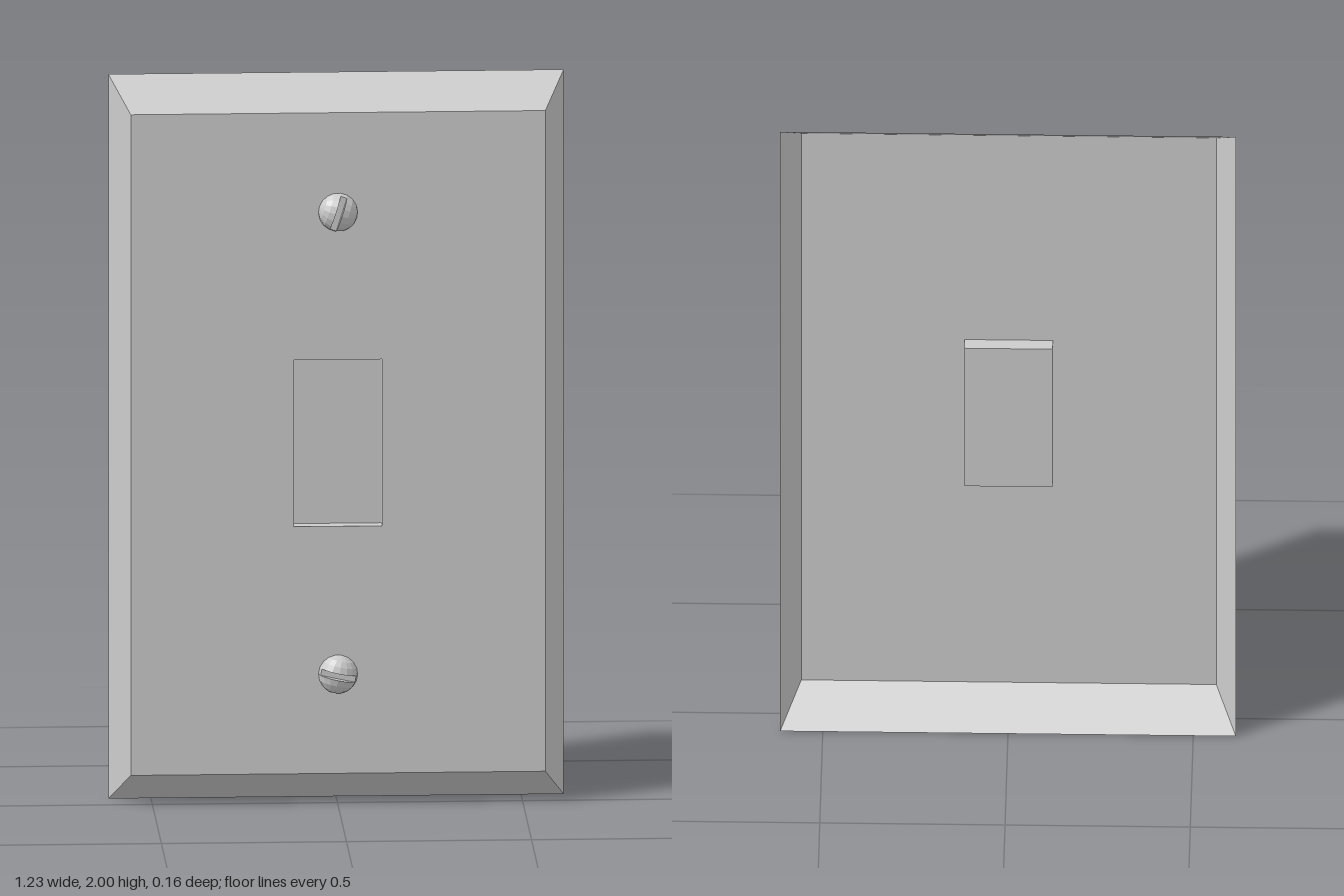
import * as THREE from 'three';
import { mergeGeometries } from 'three/addons/utils/BufferGeometryUtils.js';

const FRONT = 0.034; // z of the plate's front face

const grey = (extra = {}) => new THREE.MeshStandardMaterial({ color: 0xcccccc, flatShading: true, ...extra });

function mesh(name, geometry, material) {
  const m = new THREE.Mesh(geometry, material);
  m.name = name;
  return m;
}

// Thin pressed sheet: nested rectangles [halfWidth, halfHeight, z] joined in order, the last one closed
function sheet(frames) {
  const loops = frames.map(([w, h, z]) => [[-w, -h, z], [w, -h, z], [w, h, z], [-w, h, z]]);
  const pos = [];
  const quad = (a, b, c, d) => pos.push(...a, ...b, ...c, ...a, ...c, ...d);
  for (let i = 0; i < loops.length - 1; i++) {
    for (let k = 0; k < 4; k++) {
      const n = (k + 1) % 4;
      quad(loops[i][k], loops[i][n], loops[i + 1][n], loops[i + 1][k]);
    }
  }
  quad(...loops[loops.length - 1]);
  const g = new THREE.BufferGeometry();
  g.setAttribute('position', new THREE.Float32BufferAttribute(pos, 3));
  g.computeVertexNormals();
  return g;
}

// Domed screw head, facing +z, with a straight slot along its local x
function screw(name, y, angle) {
  const R = 0.053, height = 0.046, slot = 0.009, floor = 0.022;
  const r = Math.sqrt(R * R - slot * slot);
  const group = new THREE.Group();
  group.name = name;

  // One half of the dome with its slot wall, used twice
  const cap = new THREE.SphereGeometry(R, 8, 4, 0, Math.PI, 0, Math.acos(slot / R));
  const wall = new THREE.CircleGeometry(r, 8, 0, Math.PI).rotateX(Math.PI / 2).translate(0, slot, 0);
  const half = mergeGeometries([cap, wall]);
  for (const side of [0, 1]) {
    const m = mesh('screwHeadHalf', half, grey());
    m.rotation.z = side * Math.PI;
    group.add(m);
  }

  // Floor of the slot: the dome's section cut off below the surface
  const a = Math.asin(floor / r);
  const section = new THREE.Shape([0, a, Math.PI - a, Math.PI].map(
    (t) => new THREE.Vector2(r * Math.cos(t), r * Math.sin(t))));
  const bed = new THREE.ExtrudeGeometry(section, { depth: 2 * slot, bevelEnabled: false })
    .rotateX(Math.PI / 2).translate(0, slot, 0);
  group.add(mesh('screwSlotFloor', bed, grey()));

  group.scale.z = height / R;
  group.rotation.z = angle;
  group.position.set(0, y, FRONT);
  return group;
}

export function createModel() {
  const model = new THREE.Group();
  model.name = 'wallPlate';

  // Bevelled rim, front face and switch recess, open at the back
  const plate = mesh('plate', sheet([
    [0.615, 1, -0.081],
    [0.56, 0.912, FRONT],
    [0.119, 0.23, FRONT],
    [0.119, 0.23, FRONT - 0.04],
  ]), grey({ side: THREE.DoubleSide }));
  plate.position.y = 1;
  model.add(plate);

  model.add(screw('upperScrew', 1.637, THREE.MathUtils.degToRad(72)));
  model.add(screw('lowerScrew', 0.362, THREE.MathUtils.degToRad(-12)));
  return model;
}
